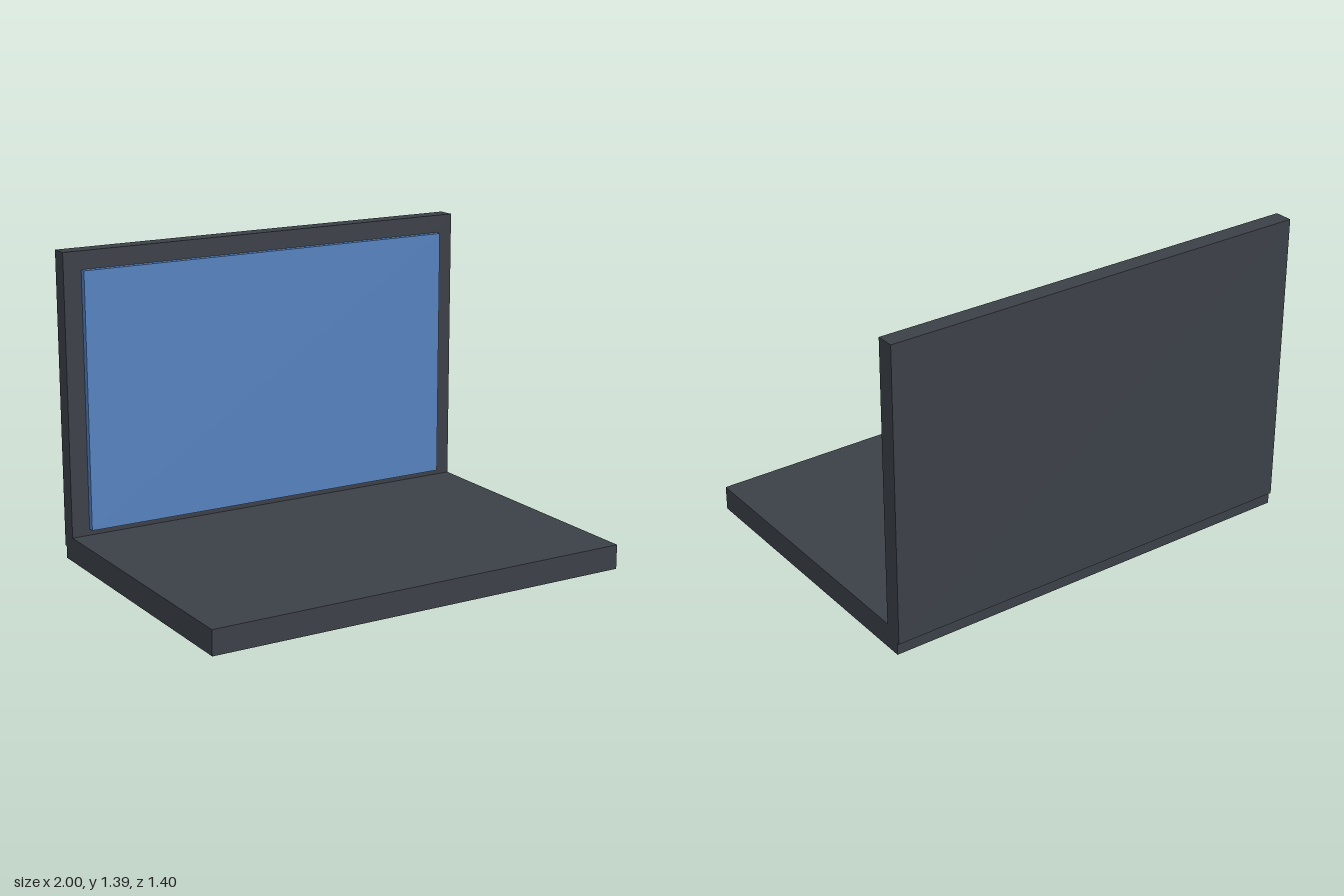
import * as THREE from 'three';

const caseGrey = new THREE.MeshStandardMaterial({ color: 0x3b4047 });
caseGrey.name = 'caseGrey';
const screenBlue = new THREE.MeshStandardMaterial({ color: 0x5581bd });
screenBlue.name = 'screenBlue';

// Box given by its width and its y and z extents, centred on x = 0
function slab(name, material, width, [y0, y1], [z0, z1]) {
  const mesh = new THREE.Mesh(new THREE.BoxGeometry(width, y1 - y0, z1 - z0), material);
  mesh.name = name;
  mesh.position.set(0, (y0 + y1) / 2, (z0 + z1) / 2);
  return mesh;
}

export function createModel() {
  const laptop = new THREE.Group();
  laptop.name = 'laptop';
  laptop.add(
    // Flat keyboard half
    slab('base', caseGrey, 2, [0, 0.111], [-0.688, 0.7]),
    // Upright lid, sunk halfway into the back of the base
    slab('lid', caseGrey, 2, [0.056, 1.39], [-0.7, -0.619]),
    // Raised display panel on the front of the lid
    slab('screen', screenBlue, 1.834, [0.14, 1.307], [-0.63, -0.59]),
  );
  return laptop;
}
